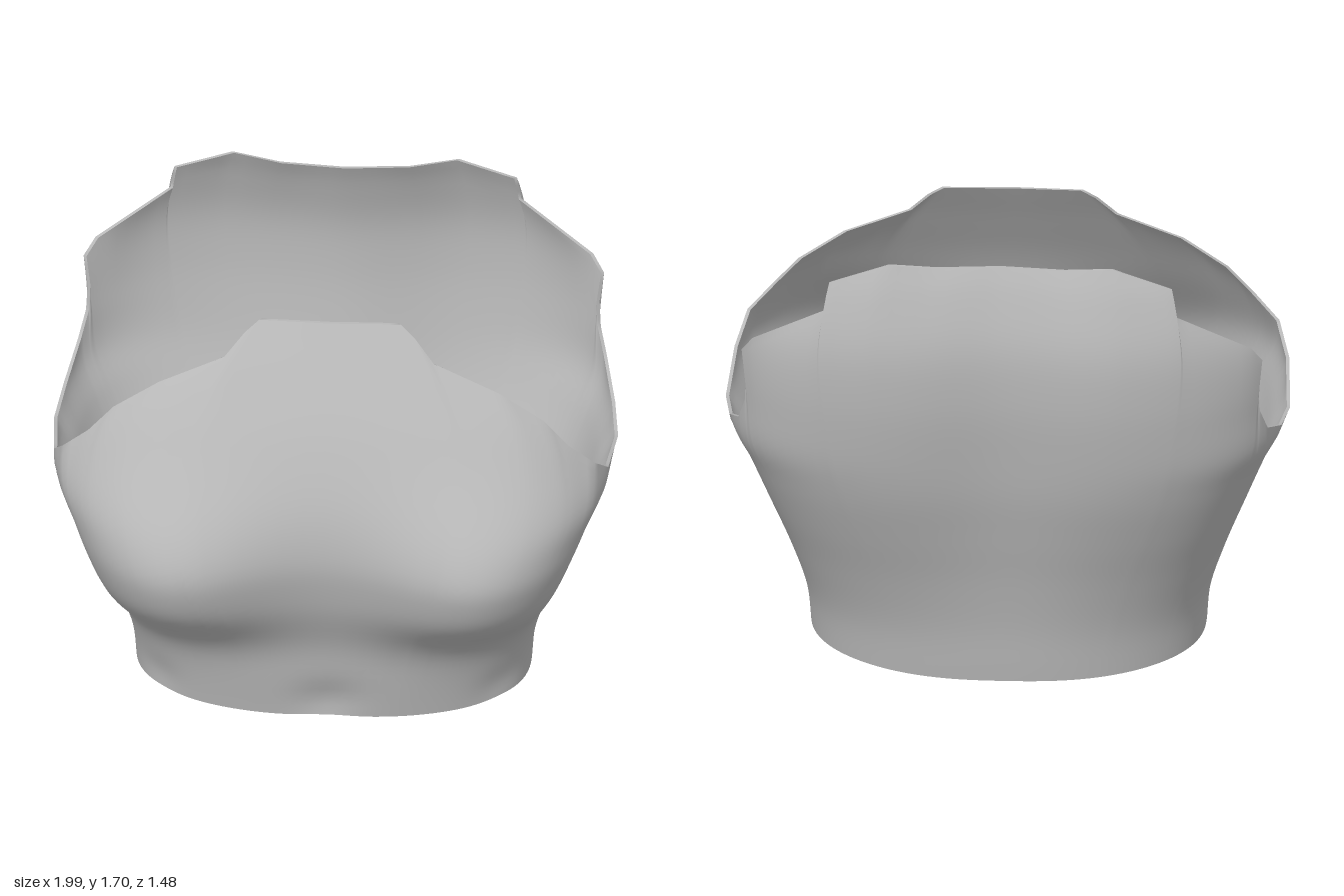
import * as THREE from 'three';

const ROWS = 40;
const THICKNESS = 0.012;

// profiles as [height, value]
const HALF_WIDTH = [[0, 0.695], [0.2, 0.715], [0.4, 0.775], [0.6, 0.85], [0.8, 0.93], [0.93, 0.995], [1.1, 1.0], [1.7, 1.03]];
const FRONT_DEPTH = [[0, 0.425], [0.2, 0.46], [0.4, 0.48], [0.6, 0.52], [0.8, 0.555], [1.0, 0.55], [1.2, 0.485], [1.4, 0.375], [1.58, 0.265], [1.7, 0.2]];
const BACK_DEPTH = [[0, 0.475], [0.2, 0.505], [0.4, 0.56], [0.6, 0.63], [0.8, 0.695], [1.0, 0.735], [1.2, 0.757], [1.4, 0.75], [1.6, 0.69], [1.7, 0.64]];

// upper rim on the left half, from front centre to back centre
const RIM = [
  [0, 1.58, 0.262], [0.25, 1.58, 0.252], [0.3, 1.54, 0.275], [0.37, 1.46, 0.315], [0.6, 1.36, 0.337], [0.76, 1.25, 0.337],
  [0.85, 1.15, 0.34], [0.94, 1.06, 0.305], [0.98, 0.97, 0.19], [0.997, 0.915, -0.1], [0.975, 0.935, -0.29],
  [0.935, 1.01, -0.47], [0.91, 1.1, -0.52], [0.905, 1.2, -0.53], [0.92, 1.31, -0.545], [0.88, 1.37, -0.575],
  [0.62, 1.53, -0.67], [0.605, 1.63, -0.65], [0.4, 1.7, -0.65], [0.23, 1.68, -0.625], [0, 1.68, -0.605],
].map((p) => new THREE.Vector3(...p));

// smooth interpolation through a profile
function profile(table, y) {
  const n = table.length - 1;
  if (y <= table[0][0]) return table[0][1];
  if (y >= table[n][0]) return table[n][1];
  let i = 0;
  while (y > table[i + 1][0]) i++;
  const slope = (k) => {
    const a = table[Math.max(k - 1, 0)], b = table[Math.min(k + 1, n)];
    return (b[1] - a[1]) / (b[0] - a[0]);
  };
  const [y0, a] = table[i], [y1, b] = table[i + 1];
  const h = y1 - y0, t = (y - y0) / h, t2 = t * t, t3 = t2 * t;
  return a * (2 * t3 - 3 * t2 + 1) + b * (3 * t2 - 2 * t3) + h * (slope(i) * (t3 - 2 * t2 + t) + slope(i + 1) * (t3 - t2));
}

const bell = (d, width, power = 2) => Math.exp(-0.5 * Math.abs(d / width) ** power);

// torso surface at a given angle round the body and height
function torso(angle, y) {
  const s = Math.sin(angle), c = Math.cos(angle);
  const depth = profile(c > 0 ? FRONT_DEPTH : BACK_DEPTH, y);
  const rise = THREE.MathUtils.smoothstep(y, 0, 0.8);
  const power = c > 0 ? 2.4 + 0.6 * rise : 2.6 + 0.4 * rise + 0.4 * y;
  const r = (Math.abs(s / profile(HALF_WIDTH, y)) ** power + Math.abs(c / depth) ** power) ** (-1 / power);
  const p = new THREE.Vector3(r * s, y, r * c);
  if (c > 0) {
    // chest swell, full below and tapering above
    const swell = 0.235 * (y < 0.71 ? bell(y - 0.71, 0.242, 3) : bell(y - 0.71, 0.225));
    const across = (d) => bell(d, d < 0 ? 0.3 : 0.32);
    p.z += swell * (across(p.x - 0.6) + across(-p.x - 0.6)) * THREE.MathUtils.smoothstep(p.z, 0, 0.3);
    // small dents above the hem
    p.z -= 0.025 * bell(p.x, 0.08) * bell(y - 0.11, 0.06);
    p.z -= 0.015 * bell(Math.abs(p.x) - 0.6, 0.05) * bell(y - 0.1, 0.05);
  } else {
    // spine groove
    p.z += 0.06 * bell(p.x, 0.19) * THREE.MathUtils.smoothstep(y, 0.05, 1.0);
  }
  return p;
}

// closed loop of rim points, with the right half mirrored
function rimLoop() {
  const half = [];
  for (let i = 0; i < RIM.length - 1; i++) {
    const n = Math.ceil(RIM[i].distanceTo(RIM[i + 1]) / 0.05);
    for (let k = 0; k < n; k++) half.push(RIM[i].clone().lerp(RIM[i + 1], k / n));
  }
  half.push(RIM[RIM.length - 1].clone());
  const last = half.length - 1;
  const left = half.map((p, i) => ({ p, even: (Math.PI * i) / last, angle: Math.atan2(p.x, p.z) }));
  const right = left.slice(1, last).reverse().map(({ p, even, angle }) => (
    { p: new THREE.Vector3(-p.x, p.y, p.z), even: -even, angle: -angle }));
  return [...left, ...right];
}

// one column of the shell, from hem to rim, turning in to the rim at the top
function column({ p, even, angle }) {
  const hemAngle = THREE.MathUtils.lerp(angle, even, 0.5);
  const hemY = 0.04 * (1 - Math.min(1, Math.max(0, -torso(hemAngle, 0).z / 0.475)) ** 4);
  const fix = p.clone().sub(torso(angle, p.y));
  return Array.from({ length: ROWS + 1 }, (_, j) => {
    const v = j / ROWS;
    const q = torso(THREE.MathUtils.lerp(hemAngle, angle, v), THREE.MathUtils.lerp(hemY, p.y, v));
    return q.addScaledVector(fix, v ** 9);
  });
}

// smooth strip surface closed round the body
function ring(columns, flip) {
  const n = columns.length, m = columns[0].length;
  const position = columns.flatMap((col) => col.flatMap((q) => q.toArray()));
  const index = [];
  for (let i = 0; i < n; i++) {
    for (let j = 0; j < m - 1; j++) {
      const a = i * m + j, b = ((i + 1) % n) * m + j;
      if (flip) index.push(a, b + 1, b, a, a + 1, b + 1);
      else index.push(a, b, b + 1, a, b + 1, a + 1);
    }
  }
  const g = new THREE.BufferGeometry();
  g.setAttribute('position', new THREE.Float32BufferAttribute(position, 3));
  g.setIndex(index);
  g.computeVertexNormals();
  return g;
}

export function createModel() {
  const group = new THREE.Group();
  group.name = 'breastplate';
  const grey = new THREE.MeshStandardMaterial({ color: 0xb8b8b8 });
  grey.name = 'plain grey';

  const outer = rimLoop().map(column);
  const inner = outer.map((col) => col.map((q) => {
    const k = 1 - THICKNESS / Math.hypot(q.x, q.z);
    return new THREE.Vector3(q.x * k, q.y, q.z * k);
  }));
  const edge = (j) => outer.map((col, i) => [col[j], inner[i][j]]);

  const add = (name, geometry) => {
    const mesh = new THREE.Mesh(geometry, grey);
    mesh.name = name;
    group.add(mesh);
  };
  add('outerShell', ring(outer, false));
  add('innerLining', ring(inner, true));
  add('upperRim', ring(edge(ROWS), false));
  add('lowerHem', ring(edge(0), true));
  return group;
}
